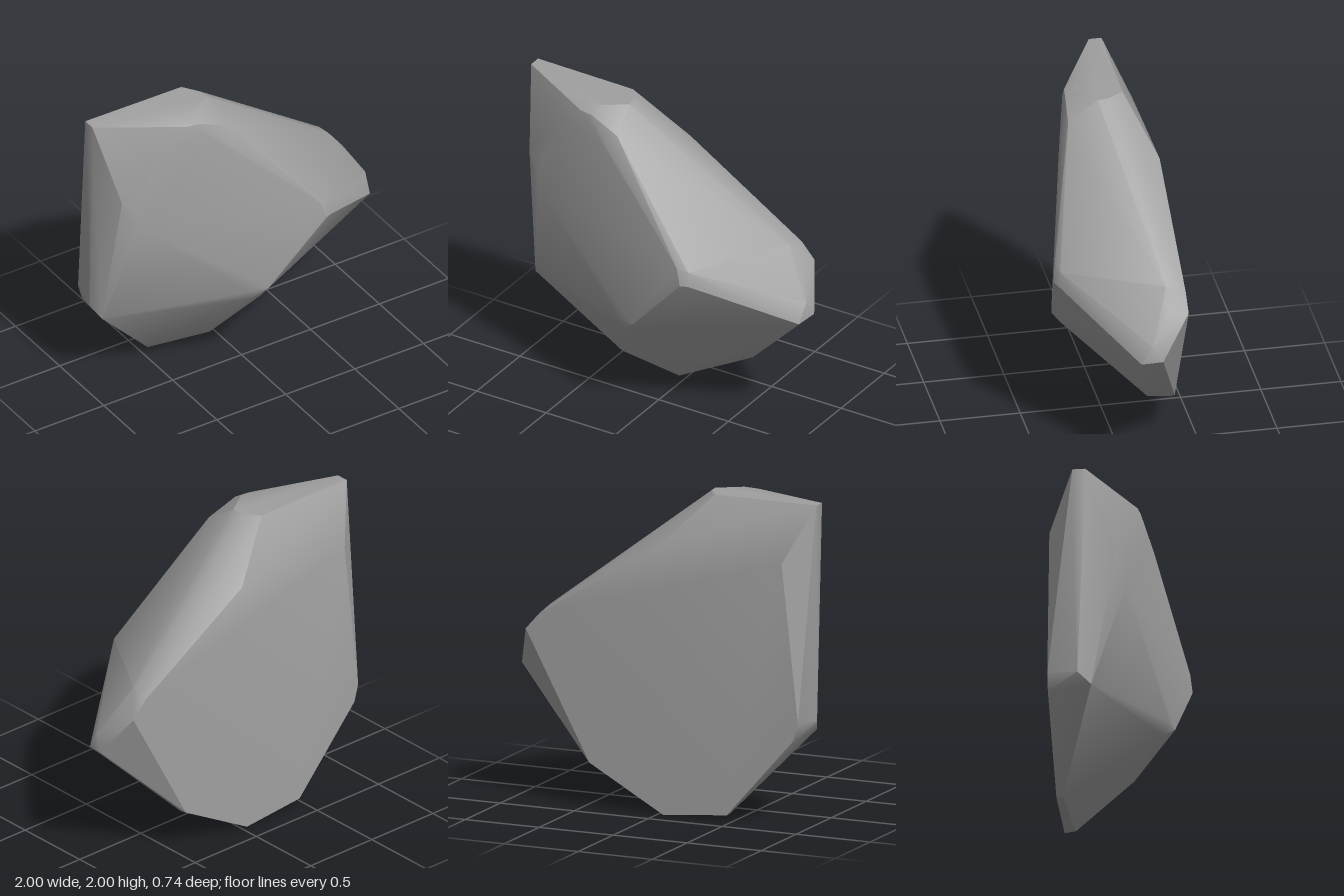
import * as THREE from 'three';
import { toCreasedNormals } from 'three/addons/utils/BufferGeometryUtils.js';
import { ConvexGeometry } from 'three/addons/geometries/ConvexGeometry.js';

// corners of the flat back
const BACK = -0.37;
const back = [
  [-0.47, 0.04], [-0.04, 0], [0.46, 0.28], [0.89, 1.08],
  [0.8, 1.18], [0, 1.68], [-0.84, 1.65], [-0.95, 0.66], [-0.92, 0.55],
].map(([x, y]) => [x, y, BACK]);

// large sloping front facet
const front = [
  [-0.6, 1.85], [-0.32, 1.83], [-0.22, 1.77], [0.35, 1.21], [0.38, 1.1],
  [0, 0.68], [-0.12, 0.68], [-0.8, 1.3], [-0.78, 1.5],
].map(([x, y]) => [x, y, 0.285 + 0.22 * x - 0.05 * (y - 1.1)]);

// worn rim around the front facet
const rim = [
  [-0.2, 1.88, 0.16], [0.42, 1.19, 0.335], [0.43, 1.1, 0.35],
  [-0.02, 0.6, 0.25], [-0.1, 0.6, 0.245], [-0.9, 1.5, 0.05],
];

// level top facet and its front lip
const top = [
  [-1, 2, -0.21], [-0.31, 2, -0.2], [-0.24, 2, -0.1], [-0.23, 2, -0.03],
  [-0.38, 2, 0.07], [-0.48, 2, 0.06], [-1, 2, -0.13],
  [-0.4, 1.96, 0.14], [-0.48, 1.96, 0.13],
];

// tips on both sides and under the front
const tips = [
  [-0.99, 0.64, -0.18], [-0.95, 0.57, -0.1],
  [1, 0.82, -0.19], [0.97, 0.8, -0.06], [0.98, 0.92, -0.13], [0.89, 1.08, -0.25],
  [0.78, 1.22, -0.25], [0.47, 0.28, -0.33], [-0.04, 0.01, -0.3], [-0.47, 0.04, -0.33],
];

export function createModel() {
  const group = new THREE.Group();
  group.name = 'rock';

  const stone = new THREE.MeshStandardMaterial({ color: 0xa0a0a0 });
  stone.name = 'grey stone';

  const corners = [...back, ...front, ...rim, ...top, ...tips].map((p) => new THREE.Vector3(...p));
  const boulder = new THREE.Mesh(toCreasedNormals(new ConvexGeometry(corners), 0.55), stone);
  boulder.name = 'boulder';
  group.add(boulder);
  return group;
}
